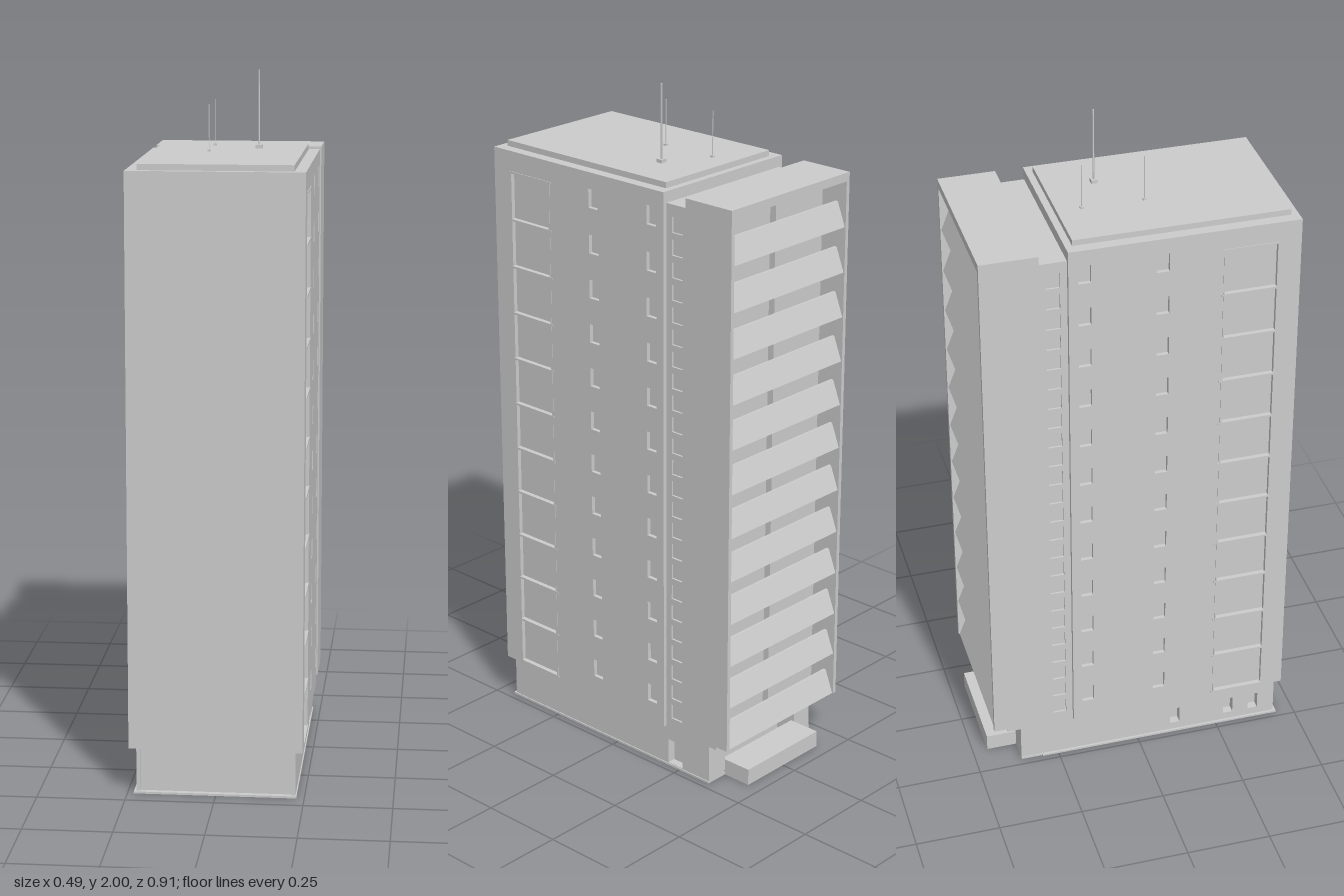
import * as THREE from 'three';

const material = new THREE.MeshStandardMaterial({ color: 0xcccccc, flatShading: true });

const FLOORS = 12, FLOOR_H = 0.1325, FIRST = 0.145;

function add(parent, name, geometry) {
  const mesh = new THREE.Mesh(geometry, material);
  mesh.name = name;
  parent.add(mesh);
  return mesh;
}

// Box given by its limits on each axis
function box(parent, name, x0, x1, y0, y1, z0, z1) {
  const g = new THREE.BoxGeometry(x1 - x0, y1 - y0, z1 - z0);
  g.translate((x0 + x1) / 2, (y0 + y1) / 2, (z0 + z1) / 2);
  return add(parent, name, g);
}

function rect(target, u0, u1, v0, v1) {
  target.moveTo(u0, v0);
  target.lineTo(u1, v0);
  target.lineTo(u1, v1);
  target.lineTo(u0, v1);
  target.closePath();
  return target;
}

// Side wall with openings; side is +1 or -1, openings are [z0, z1, y0, y1]
function sideWall(parent, name, side, x, thick, z0, z1, y0, y1, openings) {
  const span = (a, b) => (side > 0 ? [-b, -a] : [a, b]);
  const shape = rect(new THREE.Shape(), ...span(z0, z1), y0, y1);
  for (const [a, b, c, d] of openings) shape.holes.push(rect(new THREE.Path(), ...span(a, b), c, d));
  const g = new THREE.ExtrudeGeometry(shape, { depth: thick, bevelEnabled: false });
  g.rotateY(side * Math.PI / 2);
  g.translate(side * (x - thick), 0, 0);
  return add(parent, name, g);
}

// Ground floor: set-back storey with an entrance recess at the rear
function makeBase() {
  const base = new THREE.Group();
  base.name = 'base';
  box(base, 'baseCore', -0.2, 0.2, 0.006, 0.135, -0.3, 0.43);
  sideWall(base, 'baseWallLeft', 1, 0.225, 0.025, -0.365, 0.43, 0.006, 0.135,
    [[-0.26, -0.205, 0.008, 0.085]]);
  sideWall(base, 'baseWallRight', -1, 0.225, 0.025, -0.365, 0.43, 0.006, 0.135,
    [0.12, 0.29, 0.37].map((z) => [z - 0.015, z + 0.015, 0.03, 0.085]));
  box(base, 'floorSlab', -0.232, 0.228, 0, 0.006, -0.3, 0.445);
  for (const s of [-1, 1]) {
    box(base, 'floorStrip', s * 0.19 - 0.038, s * 0.19 + 0.038, 0, 0.006, -0.365, -0.3);
    box(base, 'rearPier', s * 0.178 - 0.022, s * 0.178 + 0.022, 0.006, 0.135, -0.365, -0.3);
    box(base, 'cornerPost', s * 0.219 - 0.006, s * 0.219 + 0.006, 0.006, 0.135, 0.43, 0.437);
    box(base, 'entranceSide', s * 0.151 - 0.004, s * 0.151 + 0.004, 0, 0.044, -0.447, -0.365);
  }
  // Projecting entrance block, hollow beneath
  box(base, 'entranceTop', -0.155, 0.155, 0.044, 0.05, -0.455, -0.355);
  box(base, 'entranceFront', -0.155, 0.155, 0, 0.044, -0.455, -0.447);
  return base;
}

// Main tower with recessed windows and a tall glazed strip on each side
function makeTower() {
  const tower = new THREE.Group();
  tower.name = 'tower';
  box(tower, 'towerCore', -0.233, 0.233, 0.135, 1.76, -0.205, 0.452);
  box(tower, 'roofPlate', -0.213, 0.213, 1.76, 1.777, -0.185, 0.43);
  const openings = [[0.235, 0.385, 0.145, 1.698]];
  for (let i = 0; i < FLOORS; i++) {
    const y = 0.2 + i * FLOOR_H;
    for (const z of [0.06, -0.16]) openings.push([z - 0.018, z + 0.018, y, y + 0.055]);
  }
  for (const s of [-1, 1]) {
    sideWall(tower, 'towerWall', s, 0.245, 0.012, -0.205, 0.452, 0.135, 1.76, openings);
    const x0 = s > 0 ? 0.233 : -0.247, x1 = x0 + 0.014;
    for (let i = 0; i < FLOORS; i++) {
      const y = 0.143 + i * 0.1413;
      box(tower, 'stripSill', x0, x1, y - 0.003, y + 0.003, 0.225, 0.387);
    }
    box(tower, 'stripMullion', x0, x1 - s * 0.001, 0.143, 1.698, 0.231, 0.236);
  }
  return tower;
}

// Narrow link between tower and rear block
function makeLink() {
  const link = new THREE.Group();
  link.name = 'link';
  box(link, 'linkCore', -0.227, 0.227, 0.135, 1.728, -0.285, -0.205);
  const openings = [];
  for (let i = 0; i < FLOORS * 2; i++) {
    const y = 0.165 + i * 0.0645;
    openings.push([-0.265, -0.225, y, y + 0.045]);
  }
  for (const s of [-1, 1]) {
    sideWall(link, 'linkWall', s, 0.233, 0.006, -0.285, -0.205, 0.135, 1.728, openings);
  }
  return link;
}

// Rear block: frame open to the back, filled with stacked balconies
function makeBalconyBlock() {
  const block = new THREE.Group();
  block.name = 'balconyBlock';
  box(block, 'backWall', -0.233, 0.233, 0.135, 1.735, -0.365, -0.285);
  box(block, 'roof', -0.245, 0.245, 1.735, 1.76, -0.45, -0.285);
  box(block, 'underside', -0.233, 0.233, 0.135, 0.147, -0.41, -0.365);
  for (const s of [-1, 1]) {
    box(block, 'endWall', s * 0.239 - 0.006, s * 0.239 + 0.006, 0.135, 1.735, -0.41, -0.285);
    box(block, 'endWallEdge', s * 0.239 - 0.006, s * 0.239 + 0.006, 0.145, 1.735, -0.45, -0.41);
  }
  // Balcony section: slab and parapet leaning inward towards its top
  const section = new THREE.Shape([[0.365, 0], [0.447, 0], [0.42, 0.07], [0.412, 0.07],
    [0.434, 0.012], [0.365, 0.012]].map(([u, v]) => new THREE.Vector2(u, v)));
  const balcony = new THREE.ExtrudeGeometry(section, { depth: 0.466, bevelEnabled: false });
  balcony.translate(0, 0, -0.233);
  balcony.rotateY(Math.PI / 2);
  for (let i = 0; i < FLOORS; i++) {
    const y = FIRST + i * FLOOR_H;
    add(block, 'balcony', balcony).position.y = y;
    box(block, 'balconyWallPanel', -0.1, -0.01, y + 0.012, y + FLOOR_H, -0.385, -0.365);
  }
  return block;
}

// Roof masts on small square feet
function makeMasts() {
  const masts = new THREE.Group();
  masts.name = 'masts';
  for (const [x, z, top, r, foot] of [[0.08, -0.045, 2, 0.0025, 0.01],
    [-0.053, -0.115, 1.91, 0.0014, 0.005], [-0.053, 0.062, 1.91, 0.0014, 0.005]]) {
    box(masts, 'mastFoot', x - foot, x + foot, 1.777, 1.777 + foot, z - foot * 0.9, z + foot * 0.9);
    const pole = new THREE.CylinderGeometry(r, r, top - 1.777, 6);
    add(masts, 'mastPole', pole).position.set(x, (top + 1.777) / 2, z);
  }
  return masts;
}

export function createModel() {
  const model = new THREE.Group();
  model.name = 'apartmentTower';
  model.add(makeBase(), makeTower(), makeLink(), makeBalconyBlock(), makeMasts());
  return model;
}
